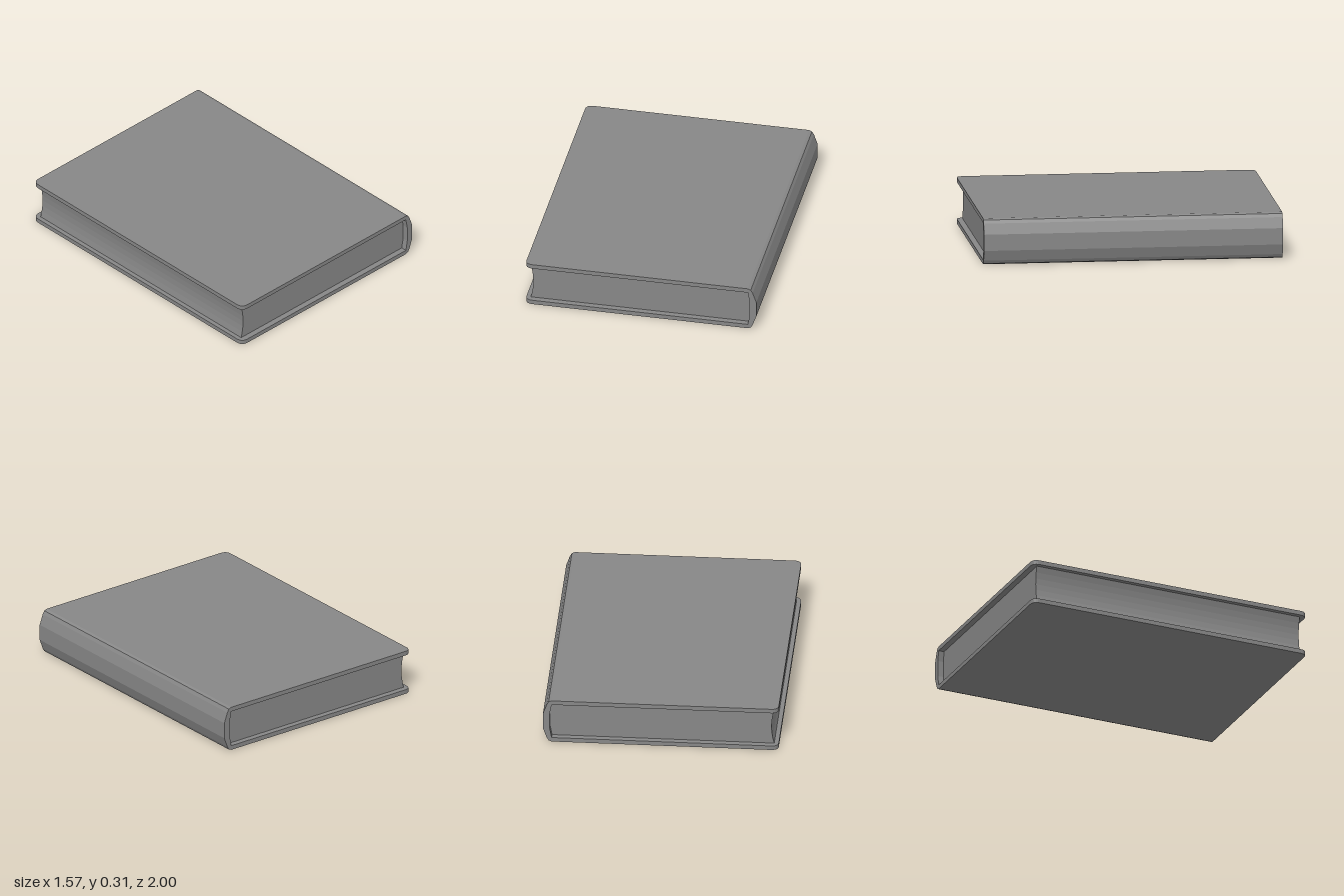
import * as THREE from 'three';

const LENGTH = 2, HEIGHT = 0.31, BOARD = 0.03;
const HINGE = 0.725, FORE = -0.785, PAGE_INSET = 0.04;

const grey = () => new THREE.MeshStandardMaterial({ color: 0x878787, flatShading: true });

function extrude(shape, depth, name) {
  const geometry = new THREE.ExtrudeGeometry(shape, { depth, bevelEnabled: false, curveSegments: 6 });
  const mesh = new THREE.Mesh(geometry, grey());
  mesh.name = name;
  return mesh;
}

// Mirrors an upper-half profile (listed top to middle) about mid height
function fullProfile(half) {
  return [...half, ...half.map(([x, y]) => [x, HEIGHT - y]).reverse()];
}

const toShape = (points) => new THREE.Shape(points.map(([x, y]) => new THREE.Vector2(x, y)));

// Cover board with rounded corners on the fore edge
function board(y, name) {
  const h = LENGTH / 2, r = 0.05;
  const s = new THREE.Shape();
  s.moveTo(HINGE, -h);
  s.lineTo(HINGE, h);
  s.lineTo(FORE + r, h);
  s.quadraticCurveTo(FORE, h, FORE, h - r);
  s.lineTo(FORE, -h + r);
  s.quadraticCurveTo(FORE, -h, FORE + r, -h);
  const mesh = extrude(s, BOARD, name);
  mesh.rotation.x = -Math.PI / 2;
  mesh.position.y = y;
  return mesh;
}

export function createModel() {
  const book = new THREE.Group();
  book.name = 'book';

  const outer = fullProfile([[HINGE, HEIGHT], [0.745, 0.302], [0.758, 0.28], [0.783, 0.21]]);
  const inner = fullProfile([[HINGE, HEIGHT - BOARD], [0.738, 0.21]]);

  // Cover
  book.add(board(0, 'bottomCover'), board(HEIGHT - BOARD, 'topCover'));

  // Rounded spine
  const spine = extrude(toShape([...outer, ...[...inner].reverse()]), LENGTH, 'spine');
  spine.position.z = -LENGTH / 2;
  book.add(spine);

  // Page block with a hollow fore edge
  const foreEdge = [];
  for (let i = 0; i <= 6; i++) {
    const t = i / 3 - 1;
    foreEdge.push([-0.737 - 0.018 * t * t, HEIGHT / 2 + t * (HEIGHT / 2 - BOARD)]);
  }
  const depth = LENGTH - 2 * PAGE_INSET;
  const pages = extrude(toShape([...inner, ...foreEdge]), depth, 'pages');
  pages.position.z = -depth / 2;
  book.add(pages);

  return book;
}
